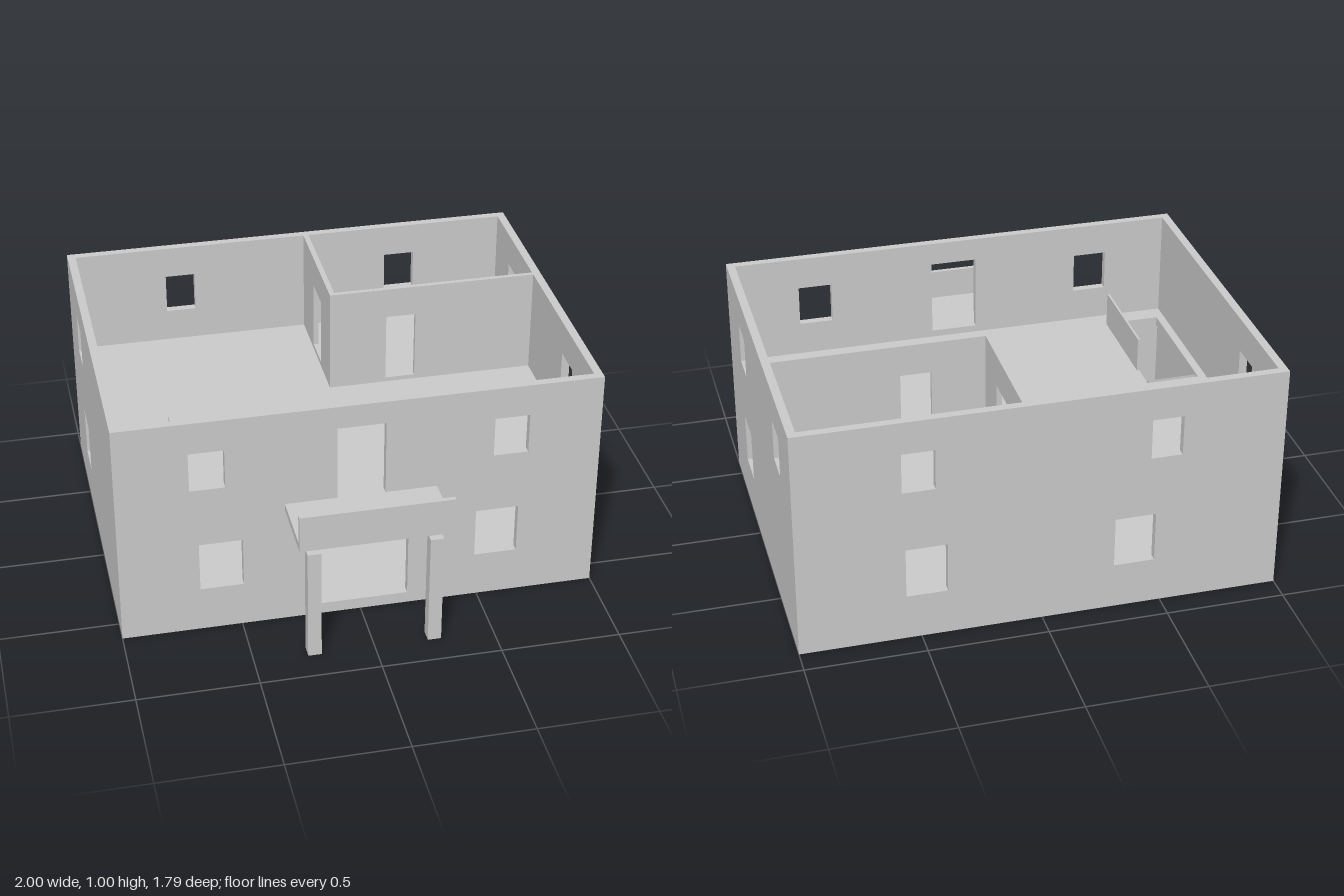
import * as THREE from 'three';

export function createModel() {
  const house = new THREE.Group();
  house.name = 'house';
  const plaster = new THREE.MeshStandardMaterial({ color: 0xcccccc });
  plaster.name = 'light grey plaster';

  function add(name, geometry, parent = house) {
    const mesh = new THREE.Mesh(geometry, plaster);
    mesh.name = name;
    parent.add(mesh);
    return mesh;
  }

  // box given by its limits on each axis
  function box(name, x0, x1, y0, y1, z0, z1) {
    const mesh = add(name, new THREE.BoxGeometry(x1 - x0, y1 - y0, z1 - z0));
    mesh.position.set((x0 + x1) / 2, (y0 + y1) / 2, (z0 + z1) / 2);
    return mesh;
  }

  // flat panel with rectangular openings, each [u0, u1, v0, v1]
  function panel(u0, u1, v0, v1, openings, depth) {
    const rect = (path, [a, b, c, d]) => {
      path.moveTo(a, c);
      path.lineTo(b, c);
      path.lineTo(b, d);
      path.lineTo(a, d);
      path.closePath();
      return path;
    };
    const shape = rect(new THREE.Shape(), [u0, u1, v0, v1]);
    for (const o of openings) shape.holes.push(rect(new THREE.Path(), o));
    return new THREE.ExtrudeGeometry(shape, { depth, bevelEnabled: false });
  }

  // wall running along x, starting at depth z
  function wallX(name, x0, x1, y0, z, thick, openings) {
    add(name, panel(x0, x1, y0, 1, openings, thick)).position.z = z;
  }

  // wall running along z, with its +x face at x
  function wallZ(name, z0, z1, y0, x, thick, openings) {
    const g = panel(z0, z1, y0, 1, openings, thick).rotateY(-Math.PI / 2);
    add(name, g).position.x = x;
  }

  const low = [0.2, 0.42];
  const high = [0.685, 0.86];
  const floorTop = 0.54;

  // outer walls
  wallX('frontWall', -1, 1, 0, 0.565, 0.035, [
    [-0.67, -0.49, ...low], [0.485, 0.665, ...low],
    [-0.7, -0.555, ...high], [0.55, 0.695, ...high],
    [-0.2, 0.2, 0.05, 0.48], [-0.1, 0.1, 0.57, 0.9],
  ]);
  wallX('backWall', -1, 1, 0, -0.895, 0.035, [
    [-0.47, -0.3, ...low], [0.39, 0.56, ...low],
    [-0.57, -0.44, ...high], [0.435, 0.57, ...high],
  ]);
  wallZ('leftWall', -0.86, 0.565, 0, 1, 0.035, [
    [0.125, 0.29, ...low], [0.16, 0.3, ...high], [-0.655, -0.515, ...high],
  ]);
  wallZ('rightWall', -0.86, 0.565, 0, -0.965, 0.035, [
    [-0.53, -0.375, ...low], [-0.59, -0.45, ...high],
  ]);

  // ground slab, and upper floor with the stair opening
  box('groundFloor', -0.965, 0.965, 0, 0.05, -0.86, 0.565);
  const upper = panel(-0.965, 0.965, -0.565, 0.86, [[-0.93, -0.7, -0.485, 0.08]], 0.04);
  add('upperFloor', upper.rotateX(-Math.PI / 2)).position.y = 0.5;

  // upper room partitions with doorways
  wallX('roomFrontPartition', 0.06, 0.965, floorTop, -0.31, 0.02, [[0.31, 0.44, 0.56, 0.865]]);
  wallZ('roomSidePartition', -0.86, -0.31, floorTop, 0.083, 0.023, [[-0.64, -0.48, 0.56, 0.865]]);

  // sloping stair ramp, drawn in z and y
  const rampProfile = new THREE.Shape([
    [-0.06, 0.5], [0.467, 0.05], [0.478, 0.05], [0.478, 0.09], [-0.06, 0.54],
  ].map(([z, y]) => new THREE.Vector2(z, y)));
  const ramp = new THREE.ExtrudeGeometry(rampProfile, { depth: 0.215, bevelEnabled: false });
  add('stairRamp', ramp.rotateY(-Math.PI / 2)).position.x = -0.71;
  box('stairGuard', -0.7, -0.69, floorTop, 0.692, 0.04, 0.48);

  // low block on the ground floor
  box('lowBlock', -0.4, -0.11, 0.05, 0.16, 0, 0.3);

  // porch
  box('porchRoof', -0.315, 0.315, 0.54, 0.57, 0.6, 0.875);
  box('porchParapet', -0.315, 0.315, 0.54, 0.7, 0.875, 0.895);
  for (const x of [-0.25, 0.25]) {
    box('porchColumn', x - 0.028, x + 0.028, 0, 0.5, 0.815, 0.87);
  }

  return house;
}
